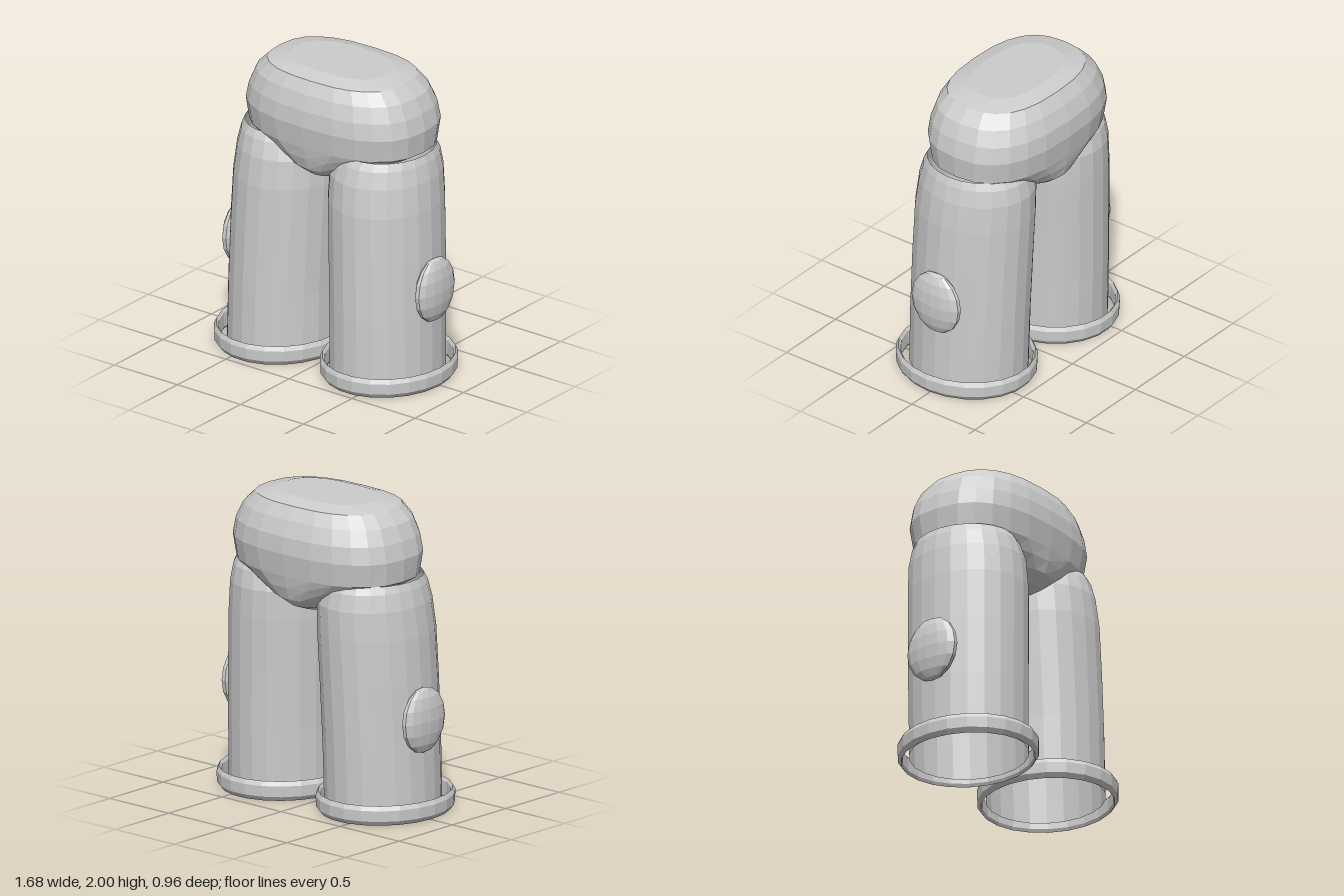
import * as THREE from 'three';

// Skin a stack of superellipse rings: [y, centreX, centreZ, radiusX, radiusZ, exponent]
function loft(rings, segments, { capBottom = false, capTop = false, closed = false } = {}) {
  const positions = [], index = [];
  const n = segments;
  const bend = (v, e) => Math.sign(v) * Math.abs(v) ** (2 / e);
  for (const [y, cx, cz, rx, rz, e = 2] of rings) {
    for (let j = 0; j < n; j++) {
      const t = (j / n) * Math.PI * 2;
      positions.push(cx + rx * bend(Math.cos(t), e), y, cz + rz * bend(Math.sin(t), e));
    }
  }
  const count = rings.length;
  for (let i = 0; i < (closed ? count : count - 1); i++) {
    const low = i * n, high = ((i + 1) % count) * n;
    for (let j = 0; j < n; j++) {
      const k = (j + 1) % n;
      index.push(low + j, high + j, low + k, low + k, high + j, high + k);
    }
  }
  const cap = (ring, up) => {
    const centre = positions.length / 3, base = ring * n;
    positions.push(rings[ring][1], rings[ring][0], rings[ring][2]);
    for (let j = 0; j < n; j++) {
      const a = base + j, b = base + (j + 1) % n;
      index.push(centre, up ? b : a, up ? a : b);
    }
  };
  if (capBottom) cap(0, false);
  if (capTop) cap(count - 1, true);
  const geometry = new THREE.BufferGeometry();
  geometry.setAttribute('position', new THREE.Float32BufferAttribute(positions, 3));
  geometry.setIndex(index);
  geometry.computeVertexNormals();
  return geometry;
}

export function createModel() {
  const model = new THREE.Group();
  model.name = 'trousers';

  const cloth = new THREE.MeshStandardMaterial({ color: 0xcccccc });
  cloth.name = 'light grey cloth';
  cloth.flatShading = true;
  cloth.side = THREE.DoubleSide;

  const add = (name, geometry, parent = model) => {
    const mesh = new THREE.Mesh(geometry, cloth);
    mesh.name = name;
    parent.add(mesh);
    return mesh;
  };

  // Rounded hips, narrowing to the crotch
  add('hips', loft([
    [1.27, 0, -0.06, 0.09, 0.18],
    [1.31, 0, -0.06, 0.19, 0.29],
    [1.37, 0, -0.06, 0.32, 0.365],
    [1.45, 0, -0.06, 0.50, 0.39, 2.2],
    [1.53, 0, -0.06, 0.635, 0.405, 2.5],
    [1.68, 0, -0.06, 0.65, 0.425, 2.6],
    [1.79, 0, -0.06, 0.625, 0.415, 2.6],
    [1.89, 0, -0.055, 0.58, 0.38, 2.6],
    [1.97, 0, -0.05, 0.50, 0.33, 2.6],
    [2.00, 0, -0.05, 0.36, 0.225, 2.6],
  ], 24, { capBottom: true, capTop: true }));

  for (const s of [1, -1]) {
    const leg = new THREE.Group();
    leg.name = s > 0 ? 'leftLeg' : 'rightLeg';
    model.add(leg);

    // Open tube, leaning inwards and back towards the hips
    add('trouserLeg', loft([
      [0.04, s * 0.405, 0.01, 0.357, 0.39],
      [0.45, s * 0.40, 0.002, 0.355, 0.395],
      [0.85, s * 0.388, -0.008, 0.357, 0.397],
      [1.18, s * 0.375, -0.018, 0.355, 0.398],
      [1.37, s * 0.367, -0.03, 0.343, 0.388],
      [1.48, s * 0.375, -0.035, 0.31, 0.36],
      [1.53, s * 0.38, -0.035, 0.285, 0.33],
    ], 22), leg);

    // Loose hoop around the ankle
    add('ankleHoop', loft([
      [0.0, s * 0.42, 0.015, 0.395, 0.44],
      [0.03, s * 0.42, 0.015, 0.417, 0.462],
      [0.10, s * 0.42, 0.015, 0.42, 0.465],
      [0.13, s * 0.42, 0.015, 0.405, 0.45],
      [0.11, s * 0.42, 0.015, 0.39, 0.435],
      [0.02, s * 0.42, 0.015, 0.385, 0.43],
    ], 22, { closed: true }), leg);

    // Flattened oval pad on the outer side
    const pad = add('sidePad', new THREE.SphereGeometry(1, 14, 8), leg);
    pad.scale.set(0.065, 0.215, 0.19);
    pad.position.set(s * 0.765, 0.645, -0.01);
  }
  return model;
}
